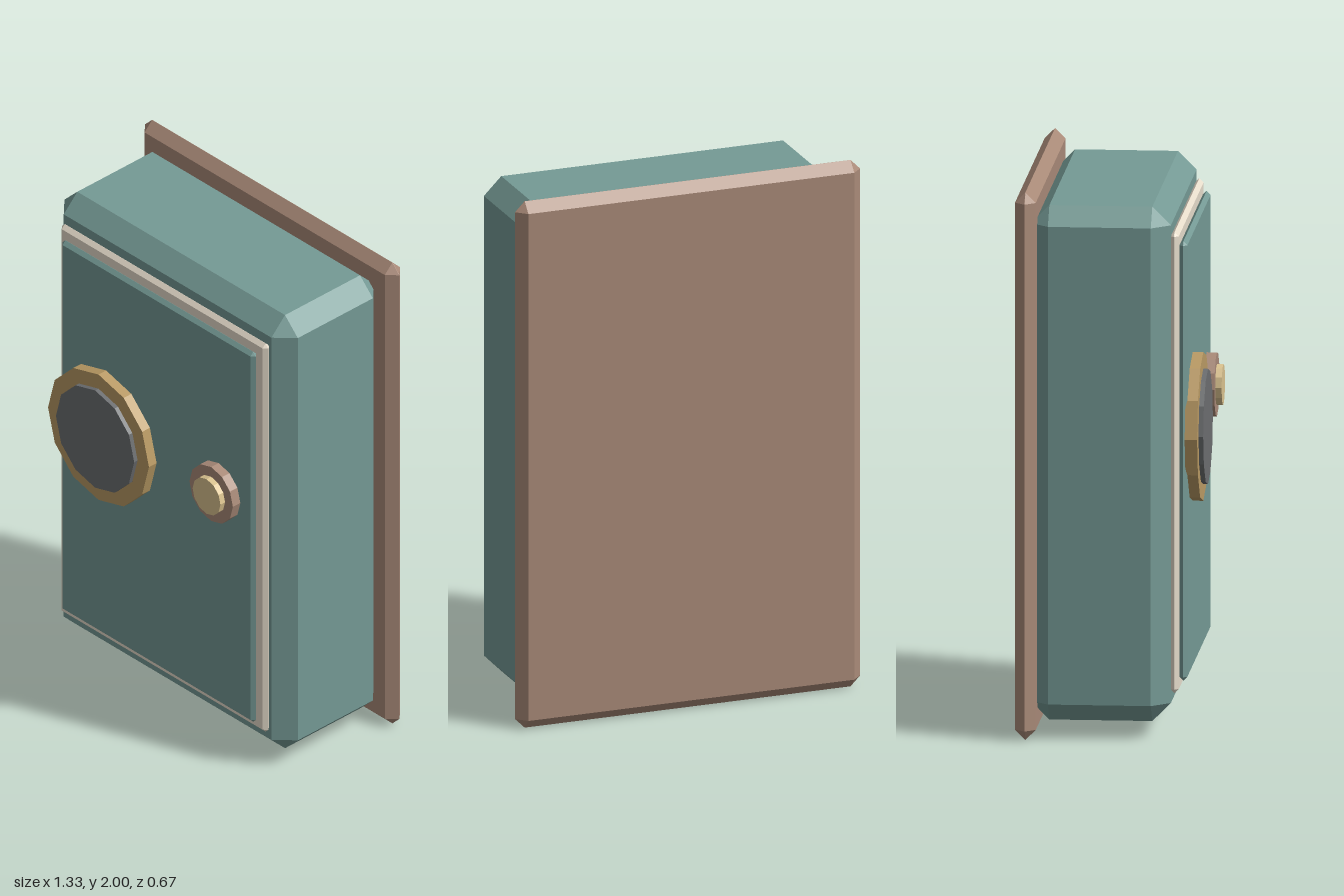
import * as THREE from 'three';
import { ConvexGeometry } from 'three/addons/geometries/ConvexGeometry.js';

const mat = (color) => new THREE.MeshStandardMaterial({ color, flatShading: true });

// Box spanning x = -hx..hx, y0..y1, z0..z1, with every edge chamfered by c
function chamferBox(name, hx, y0, y1, z0, z1, c, material) {
  const hy = (y1 - y0) / 2, hz = (z1 - z0) / 2, pts = [];
  for (const sx of [-1, 1]) for (const sy of [-1, 1]) for (const sz of [-1, 1]) {
    pts.push(
      new THREE.Vector3(sx * hx, sy * (hy - c), sz * (hz - c)),
      new THREE.Vector3(sx * (hx - c), sy * hy, sz * (hz - c)),
      new THREE.Vector3(sx * (hx - c), sy * (hy - c), sz * hz));
  }
  const mesh = new THREE.Mesh(new ConvexGeometry(pts), material);
  mesh.position.set(0, (y0 + y1) / 2, (z0 + z1) / 2);
  mesh.name = name;
  return mesh;
}

// Twelve-sided disc facing +z, slightly taller than wide
function disc(name, x, y, z0, z1, r, material) {
  const geo = new THREE.CylinderGeometry(r, r, z1 - z0, 12).rotateX(Math.PI / 2);
  geo.scale(0.97, 1, 1);
  const mesh = new THREE.Mesh(geo, material);
  mesh.position.set(x, y, (z0 + z1) / 2);
  mesh.name = name;
  return mesh;
}

export function createModel() {
  const group = new THREE.Group();
  group.name = 'wallSafe';
  const teal = mat(0x759a95), brown = mat(0xa98a78), cream = mat(0xe6dccb);
  const brass = mat(0xb99a64), dark = mat(0x6c6e70), gold = mat(0xdac28f);

  // Wall plate, body and layered door
  group.add(
    chamferBox('backPlate', 0.665, 0, 2, -0.335, -0.26, 0.037, brown),
    chamferBox('body', 0.61, 0.06, 1.94, -0.285, 0.22, 0.067, teal),
    chamferBox('doorTrim', 0.54, 0.16, 1.845, 0.216, 0.247, 0.015, cream),
    chamferBox('doorPanel', 0.505, 0.2, 1.805, 0.246, 0.275, 0.014, teal));

  // Large dial and small knob
  group.add(
    disc('dialRing', -0.263, 1.087, 0.268, 0.313, 0.272, brass),
    disc('dialFace', -0.263, 1.087, 0.3, 0.33, 0.211, dark),
    disc('knobBase', 0.325, 1.13, 0.268, 0.312, 0.117, brown),
    disc('knobTip', 0.325, 1.13, 0.3, 0.335, 0.075, gold));
  return group;
}
